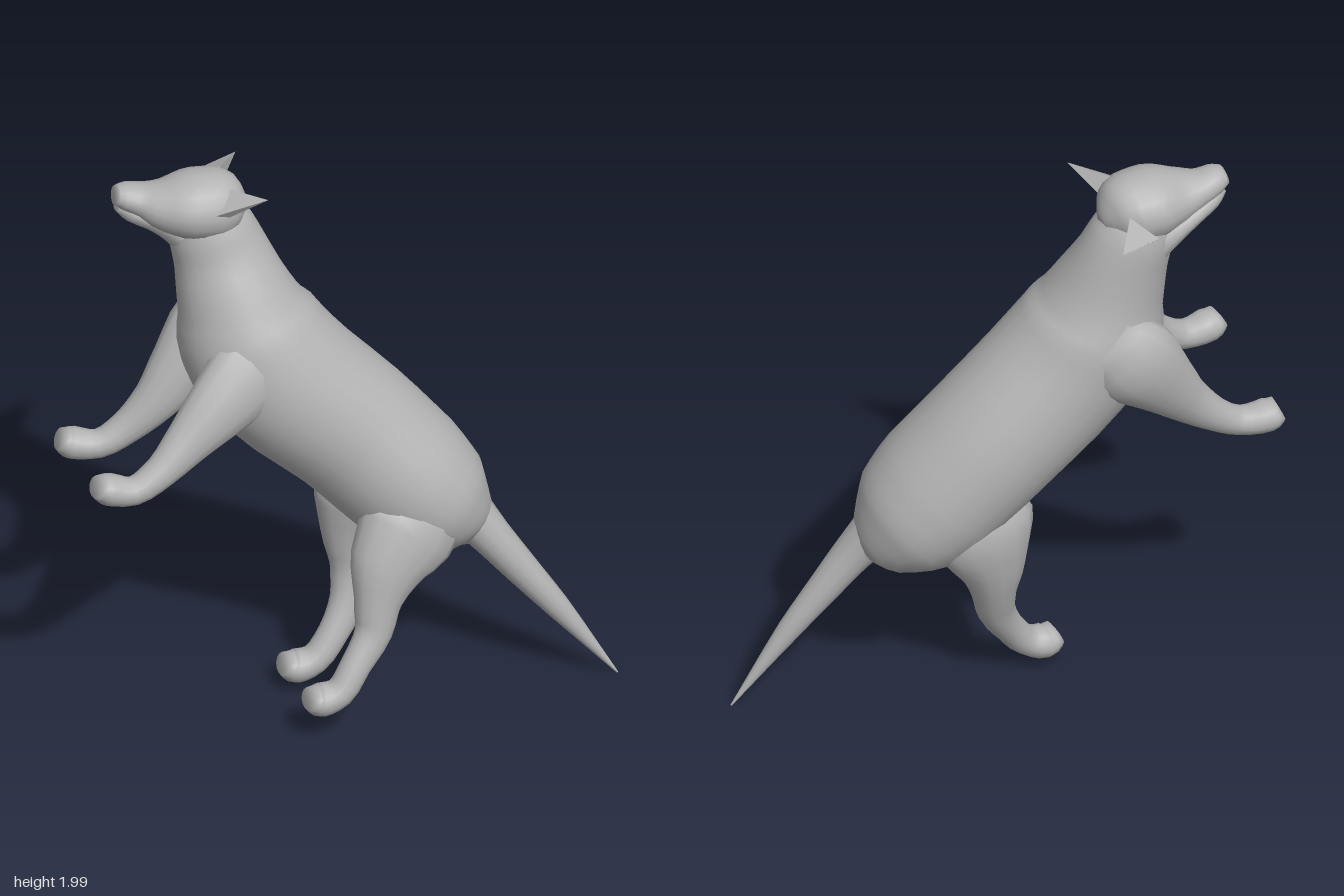
import * as THREE from 'three';

const coat = new THREE.MeshStandardMaterial({ color: 0xb3b3b3 });
coat.name = 'greyCoat';
const earCoat = coat.clone();
earCoat.name = 'greyEar';
earCoat.side = THREE.DoubleSide;

// Sideways axes of the leaning body and of the turned head
const BODY_SIDE = new THREE.Vector3(0.92, 0.14, 0.37);
const HEAD_SIDE = new THREE.Vector3(0.88, 0.08, 0.47);

// Smooth closed skin through sections [x, y, z, halfWidth, halfHeight]
function loft(name, sections, side = BODY_SIDE, sides = 18, perSpan = 3) {
  const path = new THREE.CatmullRomCurve3(sections.map(s => new THREE.Vector3(s[0], s[1], s[2])));
  const size = new THREE.CatmullRomCurve3(sections.map(s => new THREE.Vector3(s[3], s[4], 0)));
  const steps = (sections.length - 1) * perSpan;
  const pos = [], idx = [];
  for (let i = 0; i <= steps; i++) {
    const t = i / steps;
    const c = path.getPoint(t), r = size.getPoint(t), dir = path.getTangent(t);
    const s = side.clone().addScaledVector(dir, -side.dot(dir)).normalize();
    const up = dir.clone().cross(s);
    for (let j = 0; j < sides; j++) {
      const a = j / sides * Math.PI * 2;
      const p = c.clone()
        .addScaledVector(s, Math.cos(a) * Math.max(r.x, 0.002))
        .addScaledVector(up, Math.sin(a) * Math.max(r.y, 0.002));
      pos.push(p.x, p.y, p.z);
    }
  }
  for (let i = 0; i < steps; i++) {
    for (let j = 0; j < sides; j++) {
      const k = (j + 1) % sides;
      const a = i * sides + j, b = i * sides + k, c = a + sides, d = b + sides;
      idx.push(a, b, c, b, d, c);
    }
  }
  // End caps
  const first = pos.length / 3, last = first + 1, end = steps * sides;
  pos.push(...sections[0].slice(0, 3), ...sections[sections.length - 1].slice(0, 3));
  for (let j = 0; j < sides; j++) {
    const k = (j + 1) % sides;
    idx.push(first, k, j, last, end + j, end + k);
  }
  const g = new THREE.BufferGeometry();
  g.setAttribute('position', new THREE.Float32BufferAttribute(pos, 3));
  g.setIndex(idx);
  g.computeVertexNormals();
  const mesh = new THREE.Mesh(g, coat);
  mesh.name = name;
  return mesh;
}

// Pointed ear: thin faceted shell from a tip to a base loop
function ear(name, tip, base) {
  const pos = [];
  base.forEach((p, i) => pos.push(...tip, ...p, ...base[(i + 1) % base.length]));
  const g = new THREE.BufferGeometry();
  g.setAttribute('position', new THREE.Float32BufferAttribute(pos, 3));
  g.computeVertexNormals();
  const mesh = new THREE.Mesh(g, earCoat);
  mesh.name = name;
  return mesh;
}

export function createModel() {
  const model = new THREE.Group();
  model.name = 'leapingAnimal';

  // Trunk from rump to the top of the neck
  model.add(loft('bodyAndNeck', [
    [0.3, 0.565, -0.47, 0.05, 0.05],
    [0.272, 0.605, -0.445, 0.14, 0.12],
    [0.215, 0.69, -0.375, 0.225, 0.205],
    [0.143, 0.81, -0.278, 0.252, 0.24],
    [0.027, 1.0, -0.136, 0.252, 0.248],
    [-0.102, 1.24, 0.075, 0.247, 0.262],
    [-0.167, 1.395, 0.148, 0.235, 0.248],
    [-0.205, 1.53, 0.175, 0.19, 0.2],
    [-0.255, 1.68, 0.195, 0.147, 0.164],
    [-0.285, 1.79, 0.22, 0.132, 0.144],
    [-0.295, 1.88, 0.24, 0.1, 0.1],
  ], BODY_SIDE, 24));

  // Head, muzzle and jaw
  model.add(loft('head', [
    [-0.24, 1.85, 0.105, 0.03, 0.03],
    [-0.255, 1.86, 0.15, 0.105, 0.1],
    [-0.275, 1.87, 0.205, 0.135, 0.122],
    [-0.31, 1.878, 0.28, 0.142, 0.118],
    [-0.36, 1.885, 0.36, 0.108, 0.09],
    [-0.405, 1.905, 0.42, 0.074, 0.058],
    [-0.432, 1.926, 0.472, 0.058, 0.046],
    [-0.445, 1.932, 0.5, 0.04, 0.032],
  ], HEAD_SIDE));
  model.add(loft('throatAndJaw', [
    [-0.28, 1.66, 0.2, 0.09, 0.09],
    [-0.335, 1.765, 0.285, 0.1, 0.07],
    [-0.385, 1.83, 0.37, 0.088, 0.05],
    [-0.425, 1.868, 0.445, 0.06, 0.042],
    [-0.442, 1.895, 0.485, 0.034, 0.026],
  ], HEAD_SIDE, 14));

  // Ears
  model.add(ear('leftEar', [-0.04, 1.975, 0.16],
    [[-0.19, 1.85, 0.27], [-0.19, 1.885, 0.315], [-0.215, 1.96, 0.21], [-0.21, 1.88, 0.17]]));
  model.add(ear('rightEar', [-0.46, 1.885, -0.04],
    [[-0.44, 1.83, 0.19], [-0.475, 1.87, 0.13], [-0.37, 1.925, 0.1], [-0.37, 1.83, 0.11]]));

  // Front legs, each flaring into the shoulder
  model.add(loft('leftFrontLeg', [
    [-0.07, 1.42, 0.08, 0.07, 0.12],
    [-0.04, 1.35, 0.21, 0.098, 0.16],
    [-0.037, 1.25, 0.365, 0.087, 0.125],
    [-0.05, 1.15, 0.495, 0.07, 0.087],
    [-0.06, 1.065, 0.61, 0.056, 0.06],
    [-0.085, 1.014, 0.71, 0.054, 0.05],
    [-0.125, 1.03, 0.785, 0.064, 0.056],
    [-0.138, 1.05, 0.828, 0.05, 0.038],
  ], BODY_SIDE, 14));
  model.add(loft('rightFrontLeg', [
    [-0.3, 1.42, 0.05, 0.07, 0.12],
    [-0.355, 1.32, 0.135, 0.1, 0.16],
    [-0.385, 1.19, 0.25, 0.088, 0.12],
    [-0.41, 1.075, 0.35, 0.07, 0.083],
    [-0.45, 0.985, 0.445, 0.056, 0.06],
    [-0.49, 0.935, 0.53, 0.054, 0.05],
    [-0.545, 0.942, 0.605, 0.064, 0.056],
    [-0.565, 0.96, 0.642, 0.05, 0.038],
  ], BODY_SIDE, 14));

  // Hind legs, each flaring into the hip
  model.add(loft('leftHindLeg', [
    [0.22, 0.84, -0.26, 0.07, 0.1],
    [0.265, 0.71, -0.21, 0.125, 0.19],
    [0.28, 0.58, -0.1, 0.102, 0.14],
    [0.298, 0.46, -0.04, 0.07, 0.083],
    [0.312, 0.36, -0.01, 0.056, 0.066],
    [0.315, 0.26, 0.07, 0.052, 0.054],
    [0.31, 0.178, 0.135, 0.055, 0.052],
    [0.282, 0.156, 0.195, 0.066, 0.058],
    [0.27, 0.17, 0.238, 0.052, 0.038],
  ], BODY_SIDE, 14));
  model.add(loft('rightHindLeg', [
    [0.04, 0.84, -0.25, 0.07, 0.1],
    [0.0, 0.69, -0.24, 0.115, 0.19],
    [-0.02, 0.52, -0.205, 0.09, 0.125],
    [-0.012, 0.4, -0.185, 0.068, 0.08],
    [0.007, 0.29, -0.15, 0.056, 0.066],
    [0.012, 0.185, -0.08, 0.052, 0.054],
    [0.0, 0.103, -0.01, 0.055, 0.052],
    [-0.03, 0.082, 0.05, 0.066, 0.058],
    [-0.045, 0.1, 0.093, 0.052, 0.038],
  ], BODY_SIDE, 14));

  // Tail
  model.add(loft('tail', [
    [0.27, 0.68, -0.43, 0.09, 0.09],
    [0.342, 0.56, -0.5, 0.07, 0.07],
    [0.405, 0.43, -0.58, 0.056, 0.058],
    [0.475, 0.28, -0.675, 0.04, 0.043],
    [0.59, 0.003, -0.845, 0.003, 0.003],
  ], BODY_SIDE, 12));

  return model;
}
